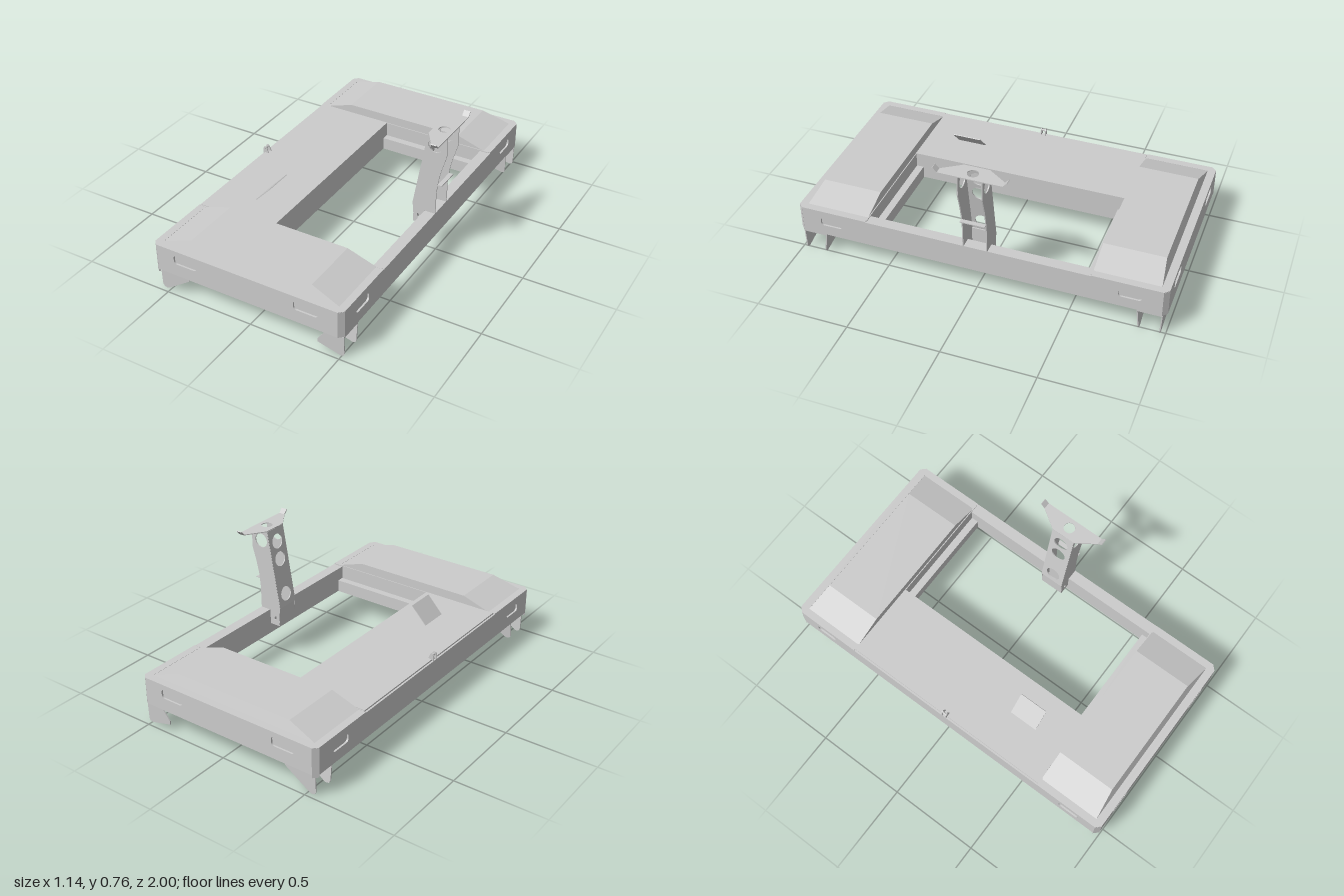
import * as THREE from 'three';

const mat = new THREE.MeshStandardMaterial({ color: 0xcccccc, side: THREE.DoubleSide });

// polygon with round holes [x, y, r] and rounded slots {x, y, w, h}
function outline(pts, holes = [], slots = []) {
  const s = new THREE.Shape(pts.map(([x, y]) => new THREE.Vector2(x, y)));
  for (const [x, y, r] of holes) s.holes.push(new THREE.Path().absarc(x, y, r, 0, Math.PI * 2, true));
  for (const { x, y, w, h } of slots) {
    const r = h * 0.35, p = new THREE.Path(), a = x - w / 2, b = x + w / 2, c = y - h / 2, d = y + h / 2;
    p.absarc(a + r, c + r, r, Math.PI, Math.PI * 1.5);
    p.absarc(b - r, c + r, r, Math.PI * 1.5, Math.PI * 2);
    p.absarc(b - r, d - r, r, 0, Math.PI / 2);
    p.absarc(a + r, d - r, r, Math.PI / 2, Math.PI);
    p.closePath();
    s.holes.push(p);
  }
  return s;
}
const sheet = (shape, depth) =>
  new THREE.ExtrudeGeometry(shape, { depth, bevelEnabled: false, curveSegments: 16 });
const rect = (x0, y0, x1, y1) => [[x0, y0], [x1, y0], [x1, y1], [x0, y1]];

export function createModel() {
  const model = new THREE.Group();
  const add = (name, geo, pos = [0, 0, 0], rot = [0, 0, 0]) => {
    const m = new THREE.Mesh(geo, mat);
    m.name = name;
    m.position.set(...pos);
    m.rotation.set(...rot);
    model.add(m);
    return m;
  };
  const box = (name, x0, x1, y0, y1, z0, z1) =>
    add(name, new THREE.BoxGeometry(x1 - x0, y1 - y0, z1 - z0), [(x0 + x1) / 2, (y0 + y1) / 2, (z0 + z1) / 2]);

  const T = 0.01, X0 = -0.57, X1 = 0.52, Y0 = 0.13, Y1 = 0.275, C = 0.025;

  // outer walls with hand slots, each slot backed by a recessed panel
  const endSlots = [-0.375, 0.32].map(x => ({ x, y: 0.226, w: 0.135, h: 0.05 }));
  const endShape = outline(rect(X0 + C, Y0, X1 - C, Y1), [], endSlots);
  const sideSlots = [-0.81, 0.81].map(x => ({ x, y: 0.214, w: 0.12, h: 0.048 }));
  const sideShape = outline(rect(-1 + C, Y0, 1 - C, Y1), [], sideSlots);
  for (const s of [-1, 1]) {
    add('endWall', sheet(endShape, T), [0, 0, s > 0 ? 1 - T : -1]);
    for (const { x } of endSlots)
      box('slotPanel', x - 0.08, x + 0.08, 0.19, 0.26, s * 0.983 - 0.003, s * 0.983 + 0.003);
    const x = s > 0 ? X1 : X0;
    add('sideWall', sheet(sideShape, T), [s > 0 ? X1 - T : X0, 0, 0], [0, Math.PI / 2, 0]);
    for (const { x: z } of sideSlots)
      box('slotPanel', x - s * 0.017 - 0.003, x - s * 0.017 + 0.003, 0.18, 0.25, z - 0.07, z + 0.07);
    // chamfered corner posts
    for (const e of [-1, 1]) {
      const low = s < 0 ? 0.115 : Y0;
      add('cornerPost', new THREE.BoxGeometry(C * 1.42, Y1 - low, T),
        [x - s * (C / 2 + 0.003), (Y1 + low) / 2, e * (1 - C / 2 - 0.003)], [0, s * e * Math.PI / 4, 0]);
    }
  }

  // side box with flat deck, and narrow rail opposite
  box('deckBox', X0 + T, -0.13, Y0, 0.283, -0.607, 0.607);
  box('sideRail', 0.46, X1 - T, Y0, Y1, -0.61, 0.61);

  // raised end covers
  const prof = [[-0.53, 0.278], [-0.37, 0.33], [0.32, 0.33], [0.48, 0.278]];
  for (const s of [-1, 1]) {
    const inner = prof.map(([x, y]) => [x, y, s * 0.61]);
    const outer = prof.map(([x, y], i) => [x, y, s * (i % 3 ? 0.937 : 0.957)]);
    const pos = [];
    const quad = (a, b, c, d) => pos.push(...(s > 0 ? [a, b, c, a, c, d] : [a, c, b, a, d, c]).flat());
    for (let i = 0; i < 3; i++) quad(inner[i], outer[i], outer[i + 1], inner[i + 1]);
    quad(outer[0], outer[3], outer[2], outer[1]);
    quad(inner[0], inner[1], inner[2], inner[3]);
    const g = new THREE.BufferGeometry();
    g.setAttribute('position', new THREE.Float32BufferAttribute(pos, 3));
    g.computeVertexNormals();
    add('endCover', g);

    // lip around the cover, open below it
    const z0 = s * 0.61, z1 = s * 1, k = z => -z;
    const lip = outline([[X0, k(z0)], [X1, k(z0)], [X1, k(z1 - s * C)], [X1 - C, k(z1)], [X0 + C, k(z1)], [X0, k(z1 - s * C)]]);
    lip.holes.push(new THREE.Path([[-0.53, 0.615], [0.48, 0.615], [0.48, 0.957], [-0.53, 0.957]]
      .map(([x, z]) => new THREE.Vector2(x, k(s * z)))));
    add('coverLip', sheet(lip, 0.006), [0, 0.273, 0], [-Math.PI / 2, 0, 0]);

    // inner bulkhead, ledge beam and underside bracing
    const span = (name, x0, x1, y0, y1, a, b) => box(name, x0, x1, y0, y1, Math.min(s * a, s * b), Math.max(s * a, s * b));
    span('bulkhead', X0 + T, X1 - T, Y0, 0.28, 0.605, 0.613);
    span('ledgeBeam', -0.13, 0.46, Y0, 0.2, 0.565, 0.605);
    span('crossBeam', X0 + T, X1 - T, Y0 + 0.005, 0.16, 0.72, 0.75);
    for (const x of [-0.09, 0.245]) span('braceBar', x - 0.03, x + 0.03, Y0, 0.15, 0.61, 0.72);
    // connector housing under the cover
    const housing = sheet(outline([[-0.13, 0.1], [-0.09, 0], [0.09, 0], [0.13, 0.1]]), 0.13);
    add('connectorHousing', housing, [-0.33, 0.15, s > 0 ? 0.78 : -0.91]);
    for (const x of [-0.38, -0.33, -0.28])
      add('connector', new THREE.CylinderGeometry(0.015, 0.015, 0.012, 16), [x, 0.147, s * 0.845]);
  }

  // feet: pairs of thin plates below a mounting flange at each corner
  const rearFoot = outline([[-0.548, 0], [-0.548, -0.105], [-0.54, -0.118], [-0.525, -0.123], [-0.51, -0.118], [-0.372, -0.022], [-0.372, 0]]);
  const frontFoot = outline([[0.418, 0], [0.37, -0.068], [0.37, -0.088], [0.495, -0.12], [0.51, -0.117], [0.516, -0.105], [0.516, 0]]);
  for (const s of [-1, 1]) {
    for (const foot of [rearFoot, frontFoot])
      for (const [z, tilt] of [[0.977, 0.04], [0.85, -0.11]])
        add('footPlate', sheet(foot, 0.006), [0, 0.125, s * z - 0.003], [s * tilt, 0, 0]);
    for (const [x0, x1] of [[-0.555, -0.372], [0.418, 0.516]])
      box('footFlange', x0, x1, 0.118, 0.13, s * 0.913 - 0.066, s * 0.913 + 0.066);
  }

  // mast: two perforated cheeks and a slanted perforated web
  const cheek = outline(
    [[0.4, 0.19], [0.458, 0.19], [0.458, 0.275], [0.52, 0.275], [0.521, 0.4], [0.53, 0.48], [0.546, 0.55], [0.57, 0.63], [0.57, 0.74], [0.465, 0.74], [0.39, 0.3]],
    [[0.507, 0.68, 0.04], [0.494, 0.587, 0.036], [0.476, 0.505, 0.037], [0.465, 0.411, 0.03], [0.458, 0.335, 0.03], [0.43, 0.235, 0.014]]);
  for (const z of [-0.067, 0.061]) add('mastCheek', sheet(cheek, 0.006), [0, 0, z]);
  const web = outline(rect(-0.066, 0, 0.066, 0.446),
    [0.365, 0.565, 0.665].map(y => [0, (y - 0.3) / 0.986, 0.041]));
  const up = new THREE.Vector3(0.075, 0.44, 0).normalize(), across = new THREE.Vector3(0, 0, 1);
  const webGeo = sheet(web, 0.006).applyMatrix4(
    new THREE.Matrix4().makeBasis(across, up, across.clone().cross(up)).setPosition(0.394, 0.3, 0));
  add('mastWeb', webGeo);
  box('mastFoot', 0.395, 0.402, 0.19, 0.305, -0.066, 0.066);
  box('mastBrace', 0.526, 0.55, 0.448, 0.453, -0.066, 0.066);

  // mast head plate with upturned ends
  const head = outline([[0.465, -0.067], [0.535, -0.17], [0.57, -0.17], [0.57, 0.17], [0.535, 0.17], [0.465, 0.067]], [[0.52, 0, 0.03]]);
  add('mastHead', sheet(head, 0.005), [0, 0.738, 0], [-Math.PI / 2, 0, 0]);
  for (const s of [-1, 1])
    add('headTab', new THREE.BoxGeometry(0.035, 0.005, 0.034), [0.5525, 0.752, s * 0.18], [-s * 0.82, 0, 0]);

  // tilted flap on the deck
  add('deckFlap', new THREE.BoxGeometry(0.131, 0.004, 0.16), [-0.295, 0.328, 0.35], [0, 0, 0.81]);

  // small lug on the outer edge
  const lug = outline([[-0.57, 0.25], [-0.57, 0.307], [-0.565, 0.316], [-0.555, 0.318], [-0.548, 0.31], [-0.534, 0.275], [-0.534, 0.25]], [[-0.56, 0.306, 0.006]]);
  for (const z of [-0.015, 0.01]) add('edgeLug', sheet(lug, 0.005), [0, 0, z]);
  add('lugPin', new THREE.CylinderGeometry(0.006, 0.006, 0.034, 12), [-0.56, 0.306, 0], [Math.PI / 2, 0, 0]);

  return model;
}
